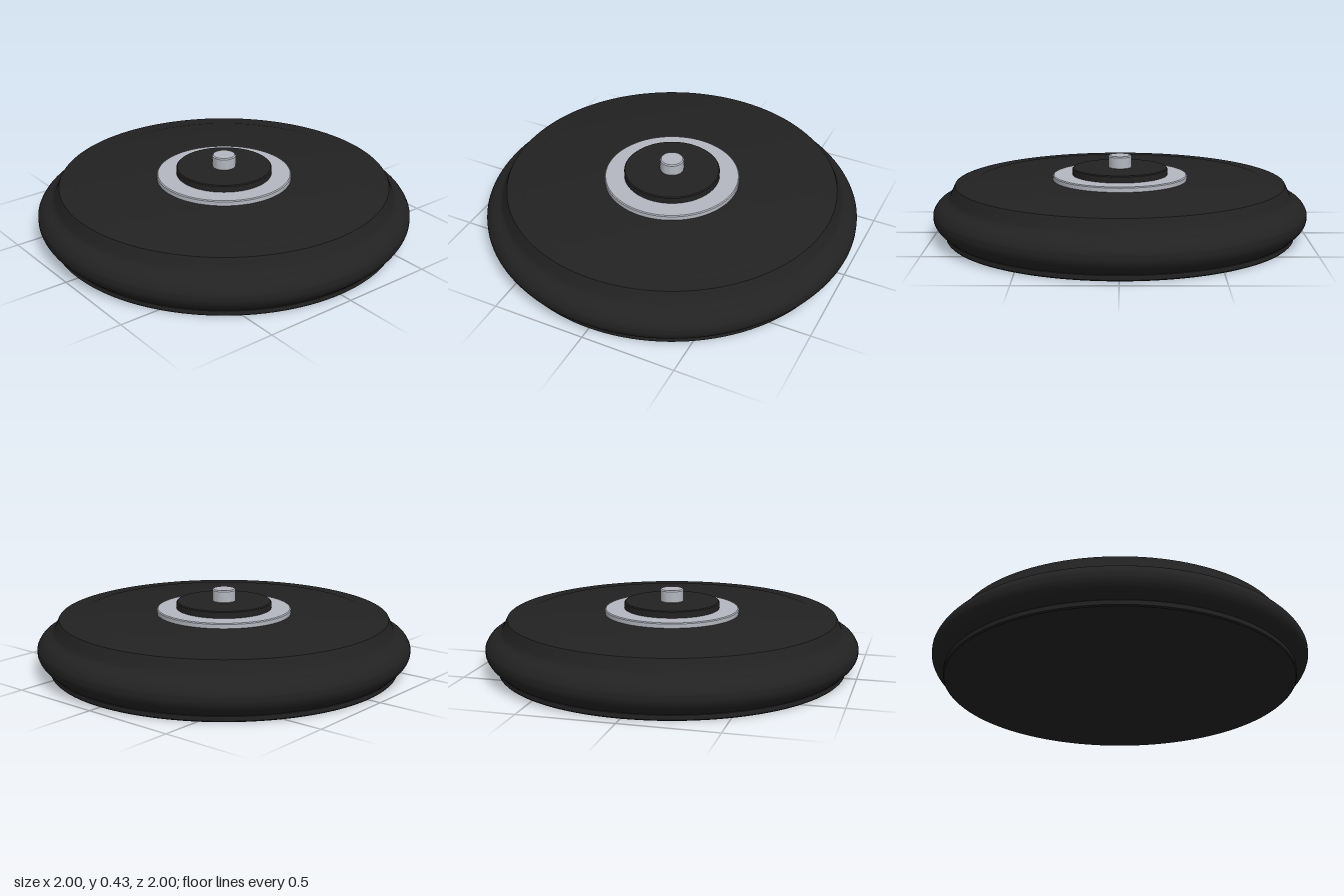
import * as THREE from 'three';
import { toCreasedNormals } from 'three/addons/utils/BufferGeometryUtils.js';

const SEGMENTS = 128;

export function createModel() {
  const model = new THREE.Group();
  model.name = 'roundBase';

  const blackRubber = new THREE.MeshStandardMaterial({ color: 0x222222 });
  blackRubber.name = 'blackRubber';
  const silverMetal = new THREE.MeshStandardMaterial({ color: 0xb4b7c0 });
  silverMetal.name = 'silverMetal';

  // Revolve a profile listed from bottom to top, keeping hard edges sharp
  function turned(name, profile, material, segments = SEGMENTS) {
    const points = profile.map(([r, y]) => new THREE.Vector2(r, y));
    const geometry = toCreasedNormals(new THREE.LatheGeometry(points, segments), 0.5);
    const mesh = new THREE.Mesh(geometry, material);
    mesh.name = name;
    model.add(mesh);
  }

  // Closed disc with small bevels on both rims
  function disc(name, radius, bottom, top, bevel, material, segments) {
    turned(name, [
      [0, bottom], [radius - bevel, bottom], [radius, bottom + bevel],
      [radius, top - bevel], [radius - bevel, top], [0, top],
    ], material, segments);
  }

  // Foot under the body
  disc('foot', 0.935, 0, 0.035, 0.006, blackRubber);

  // Bulging side that sweeps in to a narrower shoulder
  const side = new THREE.SplineCurve([
    [0.94, 0.035], [0.98, 0.073], [0.999, 0.11], [0.999, 0.145],
    [0.972, 0.187], [0.92, 0.217], [0.9, 0.25], [0.888, 0.277],
  ].map(([r, y]) => new THREE.Vector2(r, y))).getPoints(35).map((p) => [Math.min(p.x, 1), p.y]);
  turned('body', [[0, 0.03], [0.93, 0.03], ...side, [0.882, 0.288], [0.872, 0.291], [0, 0.291]], blackRubber);

  // Low raised plate on top of the body
  turned('topPlate', [[0.8, 0.291], [0.77, 0.3], [0, 0.3]], blackRubber);

  // Hub stack: washer, cap and pin
  disc('washer', 0.36, 0.295, 0.327, 0.005, silverMetal);
  disc('hubCap', 0.255, 0.32, 0.364, 0.005, blackRubber);
  disc('pin', 0.063, 0.36, 0.43, 0.006, silverMetal, 48);

  return model;
}
